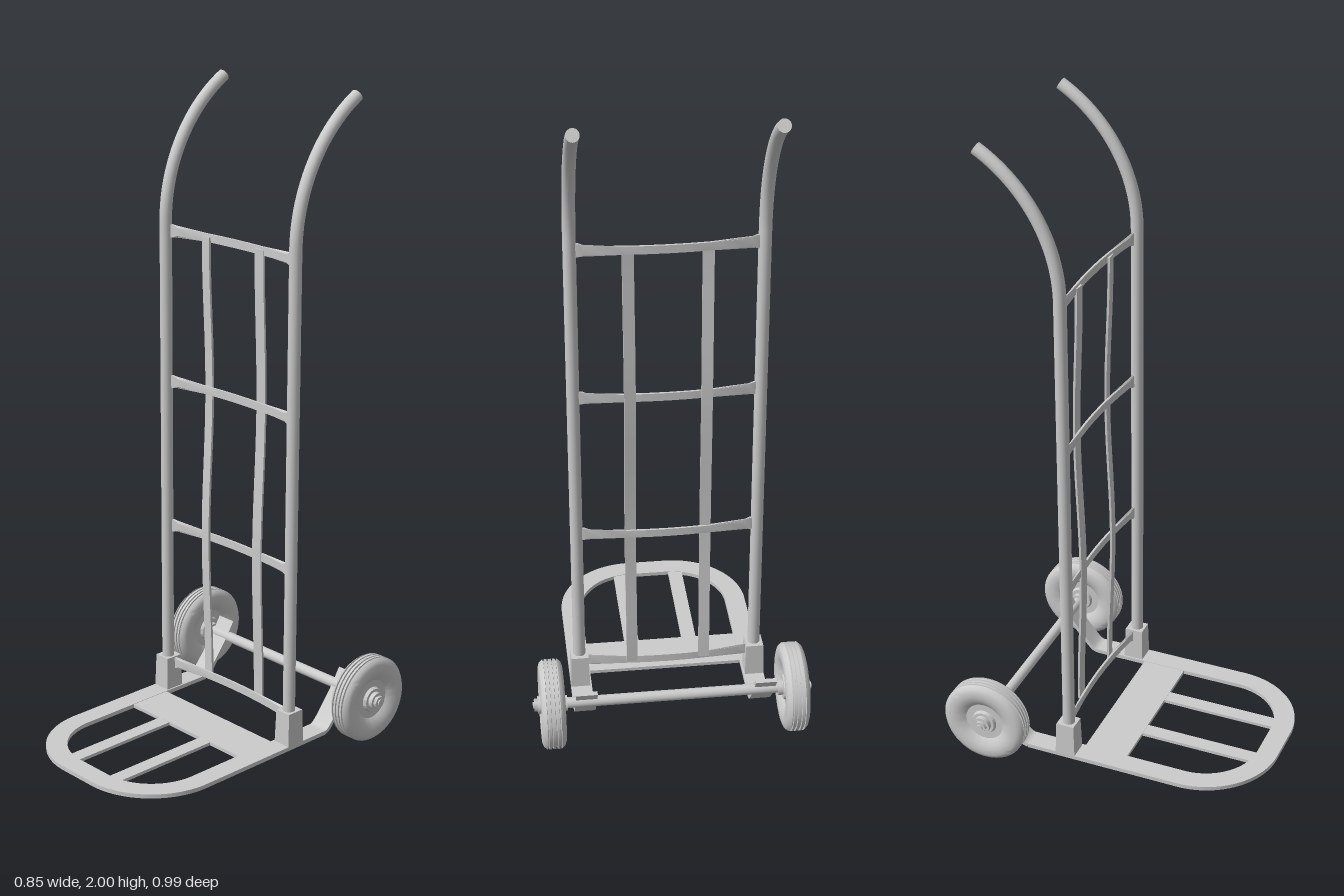
import * as THREE from 'three';
import { toCreasedNormals } from 'three/addons/utils/BufferGeometryUtils.js';

const material = new THREE.MeshStandardMaterial({ color: 0xcccccc });
const CX = -0.01; // middle of the frame

// Closed outline of a strip with the given half thickness along 2D points
function bandShape(pts, half) {
  const a = [], b = [];
  pts.forEach((p, i) => {
    const t = pts[Math.min(i + 1, pts.length - 1)].clone().sub(pts[Math.max(i - 1, 0)]).normalize();
    const n = new THREE.Vector2(-t.y, t.x).multiplyScalar(half);
    a.push(p.clone().add(n));
    b.unshift(p.clone().sub(n));
  });
  return new THREE.Shape([...a, ...b]);
}

// Shape drawn in (x, z), extruded downwards from the given top
function planExtrude(shape, top, depth) {
  return new THREE.ExtrudeGeometry(shape, { depth, bevelEnabled: false, curveSegments: 24 })
    .rotateX(Math.PI / 2).translate(0, top, 0);
}

// Shape drawn in (z, y), extruded across x around the given centre
function sideExtrude(shape, x, width) {
  return new THREE.ExtrudeGeometry(shape, { depth: width, bevelEnabled: false })
    .rotateY(-Math.PI / 2).translate(x + width / 2, 0, 0);
}

export function createModel() {
  const model = new THREE.Group();
  const add = (name, geometry, parent = model) => {
    const mesh = new THREE.Mesh(geometry, material);
    mesh.name = name;
    parent.add(mesh);
    return mesh;
  };
  const box = (name, w, h, d, x, y, z) =>
    add(name, new THREE.BoxGeometry(w, h, d).translate(x, y, z));
  const crease = (g) => toCreasedNormals(g, 0.6);

  // U-shaped toe plate rim
  const rim = new THREE.Shape();
  const back = -0.25, bend = 0.25, o = 0.305, w = 0.065, r = 0.24, ri = r - w;
  rim.moveTo(CX - o, back);
  rim.lineTo(CX - o, bend);
  rim.absarc(CX - o + r, bend, r, Math.PI, Math.PI / 2, true);
  rim.absarc(CX + o - r, bend, r, Math.PI / 2, 0, true);
  rim.lineTo(CX + o, back);
  rim.lineTo(CX + o - w, back);
  rim.lineTo(CX + o - w, bend);
  rim.absarc(CX + o - r, bend, ri, 0, Math.PI / 2, false);
  rim.absarc(CX - o + r, bend, ri, Math.PI / 2, Math.PI, false);
  rim.lineTo(CX - o + w, back);
  add('toePlateRim', crease(planExtrude(rim, 0.034, 0.013)));

  // Toe plate infill
  box('toePlateCrossPlate', 0.484, 0.011, 0.14, CX, 0.0275, -0.01);
  for (const s of [-1, 1]) box('toePlateSlat', 0.046, 0.01, 0.375, CX + s * 0.093, 0.0275, 0.245);

  for (const s of [-1, 1]) {
    const x = CX + s * 0.275;

    // Strap rising from the toe plate to the axle
    const strapPath = new THREE.SplineCurve([
      new THREE.Vector2(-0.25, 0.0275), new THREE.Vector2(-0.27, 0.037),
      new THREE.Vector2(-0.31, 0.083), new THREE.Vector2(-0.35, 0.135), new THREE.Vector2(-0.383, 0.187),
    ]).getPoints(16);
    add('axleStrap', crease(sideExtrude(bandShape(strapPath, 0.006), CX + s * (o - w / 2), w)));

    // Tapered socket holding the pole
    const socket = new THREE.BoxGeometry(0.06, 0.108, 0.064);
    const p = socket.attributes.position;
    for (let i = 0; i < p.count; i++) {
      if (p.getY(i) > 0) p.setXYZ(i, p.getX(i) * 0.9, p.getY(i), p.getZ(i) * 0.9);
    }
    socket.computeVertexNormals();
    add('poleSocket', socket.translate(x, 0.086, -0.122));

    // Upright pole with handle swept backwards
    const pole = new THREE.CurvePath();
    pole.add(new THREE.LineCurve3(new THREE.Vector3(x, 0.034, -0.12), new THREE.Vector3(x, 1.57, -0.12)));
    const arc = [];
    for (let i = 0; i <= 20; i++) {
      const a = (i / 20) * Math.PI / 3;
      arc.push(new THREE.Vector3(x, 1.57 + 0.48 * Math.sin(a), -0.6 + 0.48 * Math.cos(a)));
    }
    pole.add(new THREE.CatmullRomCurve3(arc));
    add('pole', new THREE.TubeGeometry(pole, 100, 0.019, 20));
    const cap = add('handleEnd', new THREE.CircleGeometry(0.019, 20));
    cap.position.copy(arc[20]);
    cap.lookAt(x, arc[20].y + 0.5, arc[20].z - Math.sqrt(0.75));
    const foot = add('poleFoot', new THREE.CircleGeometry(0.019, 20).rotateX(Math.PI / 2));
    foot.position.copy(pole.getPoint(0));
  }

  // Bowed cross bars with flared ends
  const barPoints = [];
  for (const u of [-0.268, -0.25, -0.232, -0.18, -0.12, -0.06, 0, 0.06, 0.12, 0.18, 0.232, 0.25, 0.268]) {
    barPoints.push(new THREE.Vector2(CX + u, -0.146 + 0.022 * (u / 0.268) ** 2));
  }
  for (const y of [0.118, 0.592, 1.067, 1.542]) {
    const bar = planExtrude(bandShape(barPoints, 0.0035), 0.0125, 0.025);
    const p = bar.attributes.position;
    for (let i = 0; i < p.count; i++) {
      if (Math.abs(p.getX(i) - CX) > 0.24) p.setY(i, p.getY(i) * 1.6);
    }
    add('crossBar', crease(bar.translate(0, y, 0)));
  }

  // Upright slats weaving gently past the cross bars
  const slatPoints = [];
  for (let i = 0; i <= 36; i++) {
    const t = i / 36;
    slatPoints.push(new THREE.Vector2(-0.144 - 0.007 * Math.cos(t * 3 * Math.PI), 0.118 + t * 1.428));
  }
  for (const s of [-1, 1]) {
    const slat = sideExtrude(bandShape(slatPoints, 0.0035), 0, 0.034);
    slat.rotateY(s * 0.08).translate(CX + s * 0.113, 0, s * 0.0115);
    // keep the slat in line with the bars after the slight turn
    slat.translate(s * 0.0115, 0, -s * 0.0115);
    add('backSlat', crease(slat));
  }

  // Axle
  const axle = new THREE.Group();
  axle.name = 'axleAssembly';
  axle.position.set(0, 0.14, -0.36);
  model.add(axle);
  add('axle', new THREE.CylinderGeometry(0.0165, 0.0165, 0.8, 24).rotateZ(Math.PI / 2), axle);

  // Wheel profile: dished hub, rounded sidewall and grooved tread
  const half = [
    [0.012, 0.03], [0.036, 0.03], [0.04, 0.02], [0.062, 0.02], [0.07, 0.026],
    [0.085, 0.034], [0.1, 0.0365], [0.115, 0.036], [0.126, 0.032], [0.133, 0.024],
    [0.135, 0.021], [0.129, 0.02], [0.129, 0.017], [0.135, 0.016],
    [0.135, 0.009], [0.129, 0.008], [0.129, 0.005], [0.135, 0.004],
  ];
  const profile = [
    ...half.map(([r, h]) => new THREE.Vector2(r, -h)),
    ...half.map(([r, h]) => new THREE.Vector2(r, h)).reverse(),
  ];
  for (const s of [-1, 1]) {
    const wheel = new THREE.Group();
    wheel.name = s > 0 ? 'leftWheel' : 'rightWheel';
    wheel.position.x = s * 0.367;
    axle.add(wheel);
    add('tyreAndHub', crease(new THREE.LatheGeometry(profile, 64).rotateZ(-Math.PI / 2)), wheel);
    const disc = (name, radius, from, to, sides) => add(name,
      new THREE.CylinderGeometry(radius, radius, to - from, sides)
        .rotateZ(Math.PI / 2).translate(s * (from + to) / 2, 0, 0), wheel);
    disc('innerSpacer', 0.024, -0.046, -0.025, 24);
    disc('washer', 0.027, 0.025, 0.044, 24);
    disc('axleNut', 0.02, 0.044, 0.054, 6);
    disc('axleTip', 0.01, 0.05, 0.058, 16);
  }

  return model;
}
